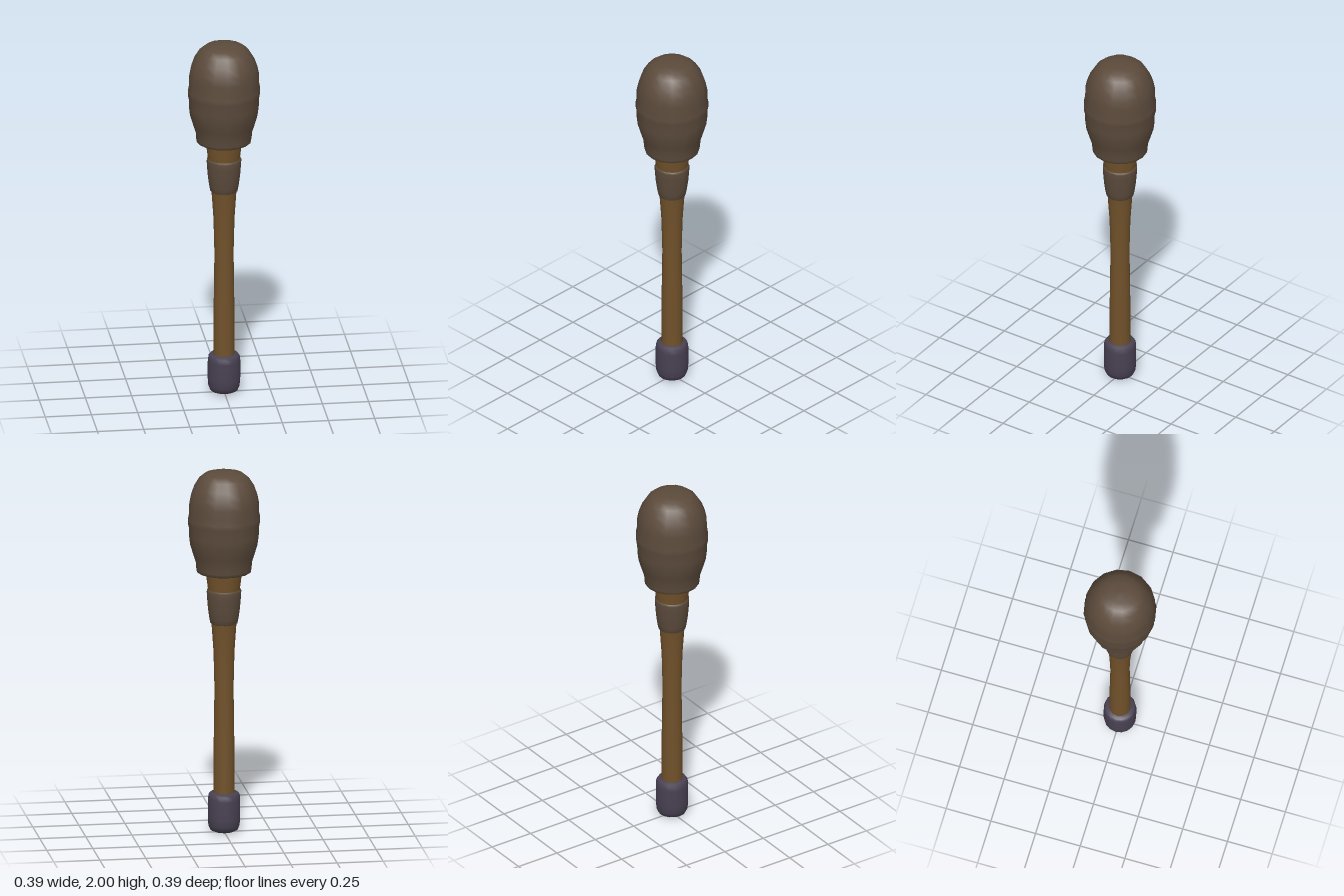
import * as THREE from 'three';

const SIDES = 16;

export function createModel() {
  const group = new THREE.Group();
  const material = (name, color) => {
    const m = new THREE.MeshStandardMaterial({ color });
    m.name = name;
    return m;
  };
  const leather = material('dark brown leather', 0x5b4a3b);
  const wood = material('brown wood', 0x70512a);
  const grip = material('dusky violet grip', 0x484152);

  // Turned part from [radius, height] pairs, listed bottom to top
  const turned = (name, mat, profile) => {
    const points = profile.map(([r, y]) => new THREE.Vector2(r, y));
    const mesh = new THREE.Mesh(new THREE.LatheGeometry(points, SIDES), mat);
    mesh.name = name;
    group.add(mesh);
  };

  // Rounded pommel at the foot
  turned('pommel', grip, [
    [0, 0], [0.05, 0.003], [0.074, 0.014], [0.085, 0.04], [0.088, 0.08],
    [0.088, 0.18], [0.085, 0.205], [0.076, 0.218], [0.05, 0.222],
  ]);

  // Tapered shaft, widening towards the head
  turned('shaft', wood, [
    [0.058, 0.2], [0.056, 0.5], [0.052, 0.8], [0.057, 1.0],
    [0.068, 1.16], [0.086, 1.34], [0.1, 1.45], [0.103, 1.52],
  ]);

  // Wrapped cuff below the head
  turned('cuff', leather, [
    [0.066, 1.155], [0.074, 1.16], [0.08, 1.19], [0.087, 1.24],
    [0.092, 1.3], [0.094, 1.335], [0.09, 1.345], [0.08, 1.347],
  ]);

  // Padded head with a hollow skirt and a raised middle band
  turned('head', leather, [
    [0.09, 1.5], [0.122, 1.49], [0.13, 1.447], [0.138, 1.44], [0.147, 1.445],
    [0.15, 1.46], [0.153, 1.5], [0.166, 1.54], [0.184, 1.6], [0.19, 1.65],
    [0.19, 1.69], [0.196, 1.715], [0.196, 1.74], [0.19, 1.77], [0.19, 1.82],
    [0.181, 1.865], [0.163, 1.915], [0.135, 1.96], [0.104, 1.985],
    [0.06, 1.997], [0, 2],
  ]);

  return group;
}
